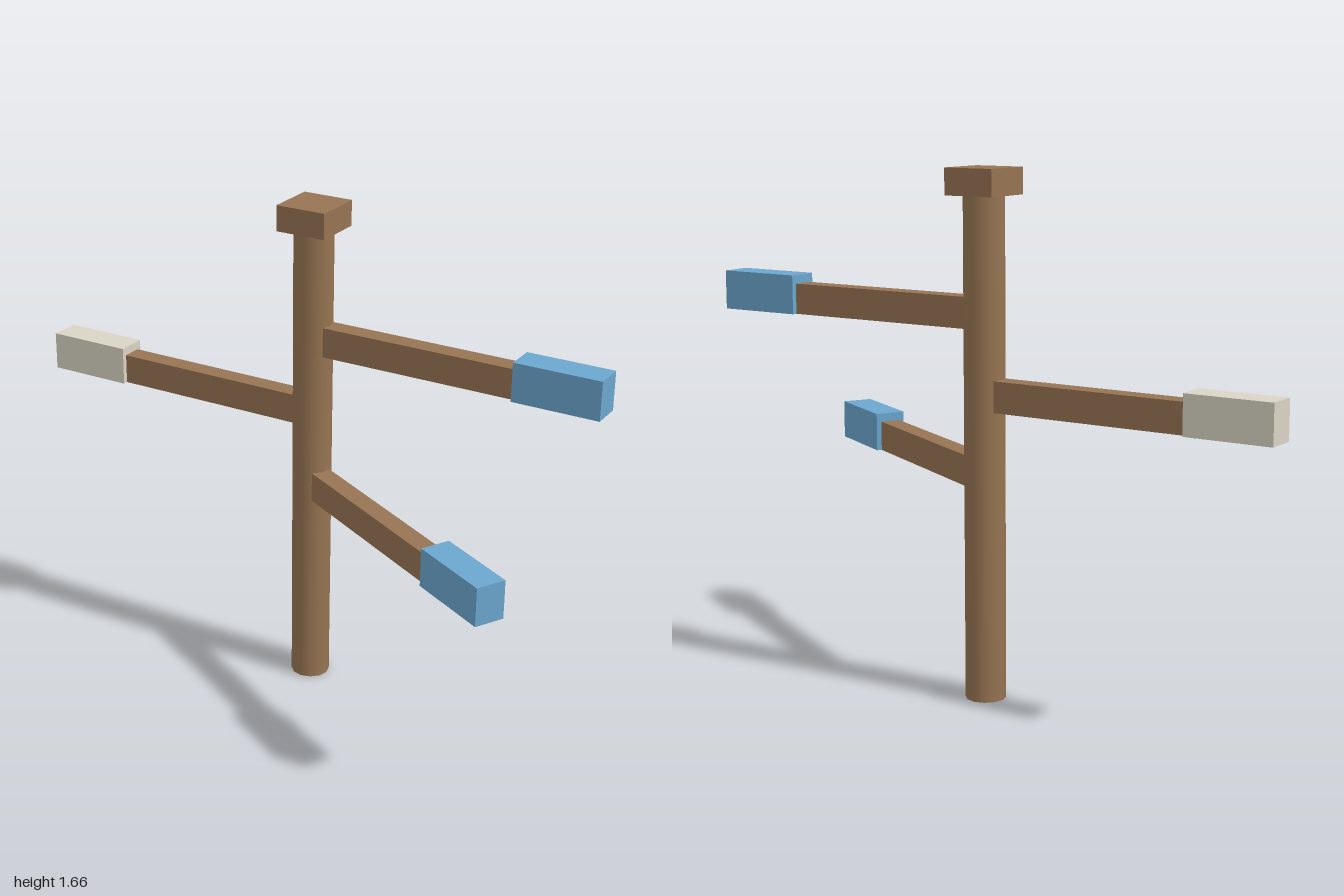
import * as THREE from 'three';
import { mergeVertices } from 'three/addons/utils/BufferGeometryUtils.js';

const wood = new THREE.MeshStandardMaterial({ color: 0x967452 });
const blue = new THREE.MeshStandardMaterial({ color: 0x6ca6ce });
const cream = new THREE.MeshStandardMaterial({ color: 0xd9d4c5 });

const POLE_Z = -0.22;

function box(name, size, position, material) {
  const mesh = new THREE.Mesh(new THREE.BoxGeometry(...size), material);
  mesh.name = name;
  mesh.position.set(...position);
  return mesh;
}

// An arm with a thicker painted tip, built along +x and turned about the pole.
function arm(name, bottom, angle, tipMaterial) {
  const group = new THREE.Group();
  group.name = name;
  group.add(
    box('armBeam', [0.665, 0.098, 0.066], [0.3825, 0.049, 0], wood),
    box('armTip', [0.285, 0.126, 0.1], [0.8575, 0.063, 0], tipMaterial)
  );
  group.position.set(0, bottom, POLE_Z);
  group.rotation.y = angle;
  return group;
}

export function createModel() {
  const model = new THREE.Group();
  model.name = 'signpost';

  // Round pole, shaded smoothly across its rims
  let poleShape = new THREE.CylinderGeometry(0.064, 0.064, 1.58, 12);
  poleShape.deleteAttribute('normal');
  poleShape.deleteAttribute('uv');
  poleShape = mergeVertices(poleShape);
  poleShape.computeVertexNormals();
  const pole = new THREE.Mesh(poleShape, wood);
  pole.name = 'pole';
  pole.position.set(0, 0.79, POLE_Z);
  model.add(pole);

  // Square cap
  model.add(box('poleCap', [0.17, 0.083, 0.17], [0, 1.6175, POLE_Z], wood));

  // Three arms at different heights and directions
  model.add(
    arm('upperArm', 1.17, 0, blue),
    arm('middleArm', 0.92, Math.PI, cream),
    arm('lowerArm', 0.67, -0.5, blue)
  );
  return model;
}
